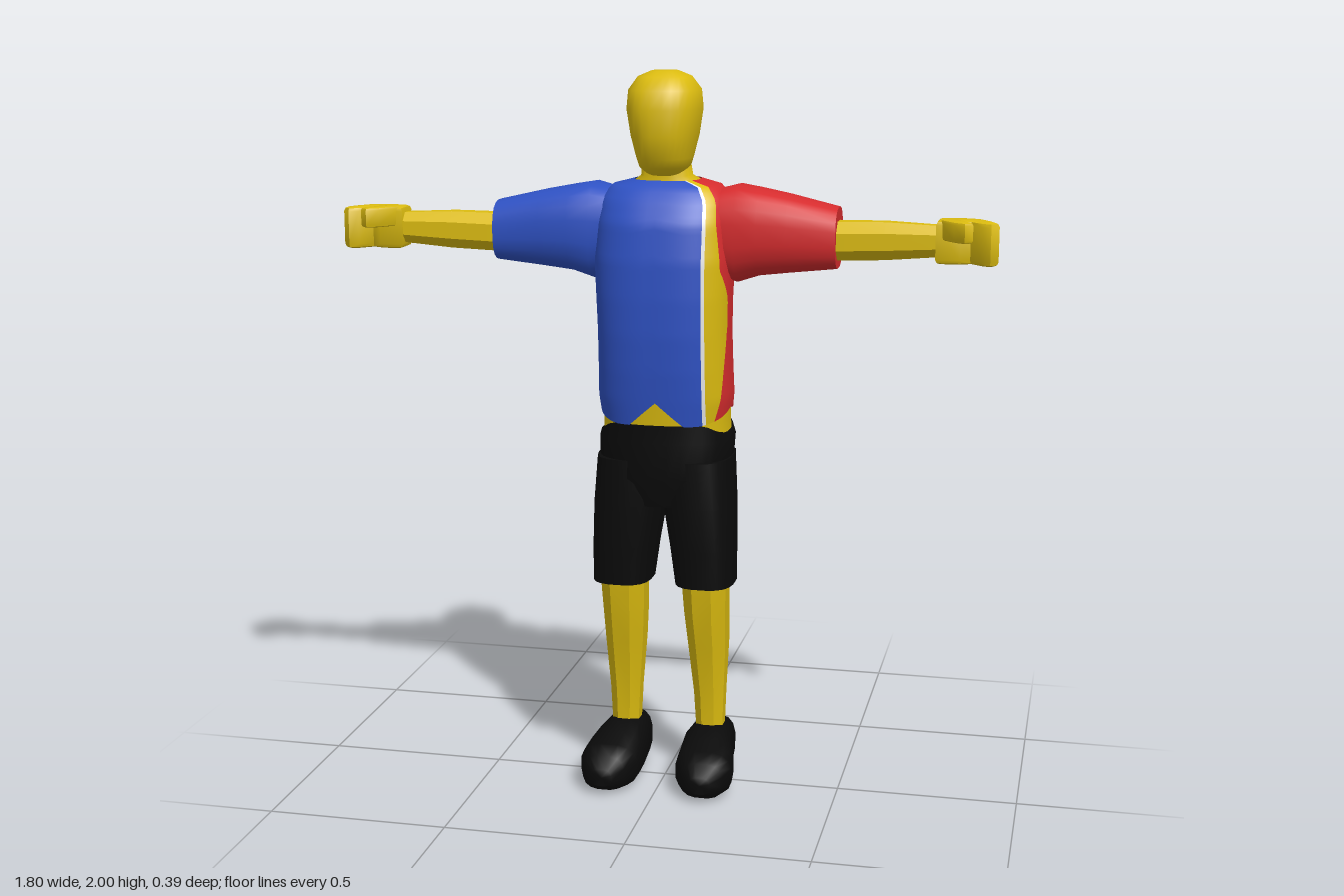
import * as THREE from 'three';
import { toCreasedNormals } from 'three/addons/utils/BufferGeometryUtils.js';

const mat = (name, color, double) => {
  const m = new THREE.MeshStandardMaterial({ color });
  m.name = name;
  if (double) m.side = THREE.DoubleSide;
  return m;
};
const skin = mat('yellow skin', 0xdcbc10, true);
const blue = mat('blue cloth', 0x2f52c4, true);
const red = mat('red cloth', 0xd62c2e, true);
const black = mat('black cloth', 0x0a0a0a, true);
const white = mat('white piping', 0xf0f0f0, true);

// Point of a rounded-box ring with ranges a0..a1, b0..b1
const ringPoint = ([, a0, a1, b0, b1], t, power) => {
  const f = (v) => Math.sign(v) * Math.abs(v) ** (2 / power);
  return [
    (a0 + a1) / 2 + (a1 - a0) / 2 * f(Math.cos(t)),
    (b0 + b1) / 2 + (b1 - b0) / 2 * f(Math.sin(t)),
  ];
};

// Capped loft. Sections are [t, a0, a1, b0, b1]; (a, b) is (z, x), (y, z) or (x, y)
// for the axes y, x and z.
function loft(sections, axis, sides, power, crease = 0.9, tweak) {
  const pos = [], idx = [], last = (sections.length - 1) * sides;
  const place = (a, b, t) => {
    const p = axis === 'y' ? [b, t, a] : axis === 'x' ? [t, a, b] : [a, b, t];
    if (tweak) tweak(p);
    pos.push(...p);
  };
  for (const s of sections)
    for (let j = 0; j < sides; j++)
      place(...ringPoint(s, (j + 0.5) / sides * Math.PI * 2, power), s[0]);
  for (const s of [sections[0], sections.at(-1)]) place((s[1] + s[2]) / 2, (s[3] + s[4]) / 2, s[0]);
  const c0 = last + sides, c1 = c0 + 1;
  for (let j = 0; j < sides; j++) {
    const k = (j + 1) % sides;
    for (let r = 0; r < last; r += sides)
      idx.push(r + j, r + k, r + sides + k, r + j, r + sides + k, r + sides + j);
    idx.push(c0, k, j, c1, last + j, last + k);
  }
  return toCreasedNormals(build(pos, idx), crease);
}

function build(pos, idx) {
  const g = new THREE.BufferGeometry();
  g.setAttribute('position', new THREE.Float32BufferAttribute(pos, 3));
  g.setIndex(idx);
  return g;
}

// Mirror across x = 0, keeping faces outward
function mirrored(geo) {
  const g = geo.index ? geo.toNonIndexed() : geo.clone();
  for (const key of ['position', 'normal']) {
    const a = g.getAttribute(key);
    for (let i = 0; i < a.count; i += 3) {
      const v = [0, 2, 1].map((k) => [a.getX(i + k), a.getY(i + k), a.getZ(i + k)]);
      v.forEach((p, k) => a.setXYZ(i + k, -p[0], p[1], p[2]));
    }
  }
  return g;
}

// Symmetric section: y, back z, front z, half width
const sym = (rows) => rows.map(([y, zb, zf, x]) => [y, zb, zf, -x, x]);

const SHIRT = sym([
  [1.05, -0.19, 0.12, 0.177], [1.12, -0.175, 0.13, 0.185], [1.2, -0.165, 0.14, 0.183],
  [1.3, -0.15, 0.148, 0.182], [1.4, -0.14, 0.15, 0.185], [1.5, -0.147, 0.147, 0.19],
  [1.6, -0.15, 0.132, 0.185], [1.66, -0.142, 0.1, 0.178], [1.695, -0.13, 0.07, 0.15],
  [1.71, -0.12, 0.045, 0.09],
]);

// Linear lookup in a table of rows keyed by their first value
function lookup(table, y) {
  let i = 0;
  while (i < table.length - 2 && y > table[i + 1][0]) i++;
  const a = table[i], b = table[i + 1];
  const t = THREE.MathUtils.clamp((y - a[0]) / (b[0] - a[0]), 0, 1);
  return a.map((v, k) => v + (b[k] - v) * t);
}

// Shirt body: one ring of columns whose edges follow the colour borders
function shirtGeometry() {
  const power = 2.6, rows = 44;
  // y, z of the yellow/red border, z of the red/blue border
  const borders = [[1.05, 0.07, -0.145], [1.2, 0.055, -0.1], [1.33, 0.037, -0.075],
    [1.4, 0.045, -0.07], [1.48, 0.09, -0.1], [1.6, 0.085, -0.13]];
  const angles = (y) => {
    const s = lookup(SHIRT, Math.min(y, 1.6)), [, zRed, zBack] = lookup(borders, y);
    const fromX = (x) => Math.asin((x / s[4]) ** (power / 2));
    const fromZ = (z) => {
      const q = (z - (s[1] + s[2]) / 2) / ((s[2] - s[1]) / 2);
      return Math.acos(Math.sign(q) * Math.abs(q) ** (power / 2));
    };
    const w = fromX(0.124), e = fromX(0.133);
    return [0, w, e, Math.max(fromZ(zRed), e + 0.1), fromZ(zBack), Math.PI * 2];
  };
  const counts = [14, 1, 5, 12, 48], mats = [0, 1, 2, 3, 0];
  const columns = counts.flatMap((n, k) => Array.from({ length: n }, (_, i) => [k, i / n]));
  const pos = [], idx = [];
  for (const [k, f] of columns) {
    const at = (y) => {
      const a = angles(y);
      return ringPoint(lookup(SHIRT, y), a[k] + (a[k + 1] - a[k]) * f, power);
    };
    // Hem notches at the front centre and at both hips
    const [z, x] = at(1.06);
    const front = z > 0 ? 0.066 * Math.max(0, 1 - Math.abs(x) / 0.075) : 0;
    const hip = Math.abs(x) > 0.1 ? 0.042 * Math.max(0, 1 - Math.abs(z + 0.03) / 0.13) : 0;
    const hem = 1.052 + front + hip;
    for (let r = 0; r <= rows; r++) {
      const y = hem + (1.71 - hem) * r / rows, p = at(y);
      pos.push(p[1], y, p[0]);
    }
  }
  const n = columns.length, h = rows + 1;
  for (let j = 0; j < n; j++)
    for (let r = 0; r < rows; r++) {
      const a = j * h + r, b = ((j + 1) % n) * h + r;
      idx.push(a, b, b + 1, a, b + 1, a + 1);
    }
  const g = build(pos, idx);
  let start = 0;
  counts.forEach((c, k) => {
    g.addGroup(start, c * rows * 6, mats[k]);
    start += c * rows * 6;
  });
  g.computeVertexNormals();
  return g;
}

// Flat outline in (x, z) extruded downward from a top height
function slab(points, top, depth, bevel) {
  const shape = new THREE.Shape(points.map((p) => new THREE.Vector2(...p)));
  const g = new THREE.ExtrudeGeometry(shape, {
    depth: depth - 2 * bevel, bevelEnabled: true, bevelSize: bevel, bevelThickness: bevel,
    bevelOffset: -bevel, bevelSegments: 2,
  });
  return toCreasedNormals(g.rotateX(Math.PI / 2).translate(0, top - bevel, 0), 0.7);
}

export function createModel() {
  const model = new THREE.Group();
  const add = (name, geo, material) => {
    const m = new THREE.Mesh(geo, material);
    m.name = name;
    model.add(m);
  };
  const pair = (name, geo, left, right = left) => {
    add('left' + name, geo, left);
    add('right' + name, mirrored(geo), right);
  };

  // Head and neck
  add('head', loft(sym([
    [1.722, -0.06, 0.04, 0.045], [1.745, -0.088, 0.085, 0.066], [1.77, -0.106, 0.105, 0.073],
    [1.83, -0.122, 0.12, 0.088], [1.9, -0.125, 0.125, 0.099], [1.95, -0.114, 0.114, 0.095],
    [1.985, -0.08, 0.085, 0.07], [2.0, -0.04, 0.045, 0.035],
  ]), 'y', 28, 2.5), skin);
  add('neck', loft(sym([
    [1.67, -0.12, 0.04, 0.1], [1.708, -0.117, 0.042, 0.088], [1.72, -0.09, 0.04, 0.07],
    [1.78, -0.08, 0.05, 0.062],
  ]), 'y', 20, 2.4), skin);

  // Shirt with the waist showing through the hem notches
  add('shirt', shirtGeometry(), [blue, white, skin, red]);
  add('waist', loft(sym([
    [0.98, -0.185, 0.108, 0.178], [1.05, -0.184, 0.115, 0.173], [1.15, -0.163, 0.126, 0.176],
  ]), 'y', 32, 2.6), skin);
  pair('Sleeve', loft([
    [0.14, 1.45, 1.685, -0.13, 0.07], [0.2, 1.435, 1.7, -0.145, 0.075],
    [0.26, 1.455, 1.69, -0.14, 0.077], [0.34, 1.465, 1.675, -0.122, 0.07],
    [0.472, 1.48, 1.645, -0.095, 0.06],
  ], 'x', 20, 2.6), red, blue);

  // Forearms and gripping hands
  pair('Forearm', loft([
    [0.45, 1.5, 1.612, -0.07, 0.048], [0.6, 1.507, 1.615, -0.05, 0.05],
    [0.76, 1.522, 1.608, -0.028, 0.048],
  ], 'x', 8, 2.2, 0.5), skin);
  pair('Hand', slab([
    [0.735, -0.028], [0.8, -0.04], [0.85, -0.025], [0.885, 0.025], [0.9, 0.06], [0.88, 0.08],
    [0.855, 0.07], [0.825, 0.035], [0.8, 0.05], [0.735, 0.05],
  ], 1.622, 0.115, 0.012), skin);
  pair('Thumb', slab([
    [0.745, 0.04], [0.79, 0.025], [0.815, 0.06], [0.835, 0.1], [0.815, 0.117], [0.785, 0.095],
  ], 1.625, 0.055, 0.008), skin);

  // Shorts, with the waistband dipping at the hips
  add('shortsHips', loft(sym([
    [0.82, -0.135, 0.1, 0.1], [0.9, -0.165, 0.118, 0.182], [1.0, -0.195, 0.117, 0.186],
    [1.053, -0.192, 0.118, 0.18],
  ]), 'y', 36, 2.7, 0.9, (p) => {
    if (p[1] > 1.04) p[1] -= 0.035 * Math.max(0, Math.min(1, (Math.abs(p[0]) - 0.13) / 0.05));
  }), black);
  pair('ShortsLeg', loft([
    [0.59, -0.107, 0.1, 0.035, 0.2], [0.7, -0.12, 0.106, 0.02, 0.2],
    [0.82, -0.14, 0.112, 0, 0.197], [0.95, -0.165, 0.112, -0.02, 0.188],
  ], 'y', 20, 2.8), black);

  // Lower legs and shoes
  pair('Calf', loft([
    [0.13, -0.1, 0, 0.083, 0.163], [0.25, -0.1, 0.008, 0.076, 0.168],
    [0.4, -0.106, 0.04, 0.062, 0.177], [0.5, -0.096, 0.064, 0.054, 0.18],
    [0.62, -0.072, 0.08, 0.048, 0.185],
  ], 'y', 8, 2.2, 0.5), skin);
  pair('Shoe', loft([
    [-0.14, 0.085, 0.16, 0.02, 0.145], [-0.11, 0.062, 0.185, 0.005, 0.155],
    [0, 0.053, 0.197, 0, 0.16], [0.06, 0.052, 0.212, 0, 0.14], [0.12, 0.055, 0.218, 0, 0.126],
    [0.17, 0.08, 0.2, 0.008, 0.11], [0.2, 0.11, 0.17, 0.03, 0.08],
  ], 'z', 16, 2.8), black);

  return model;
}
